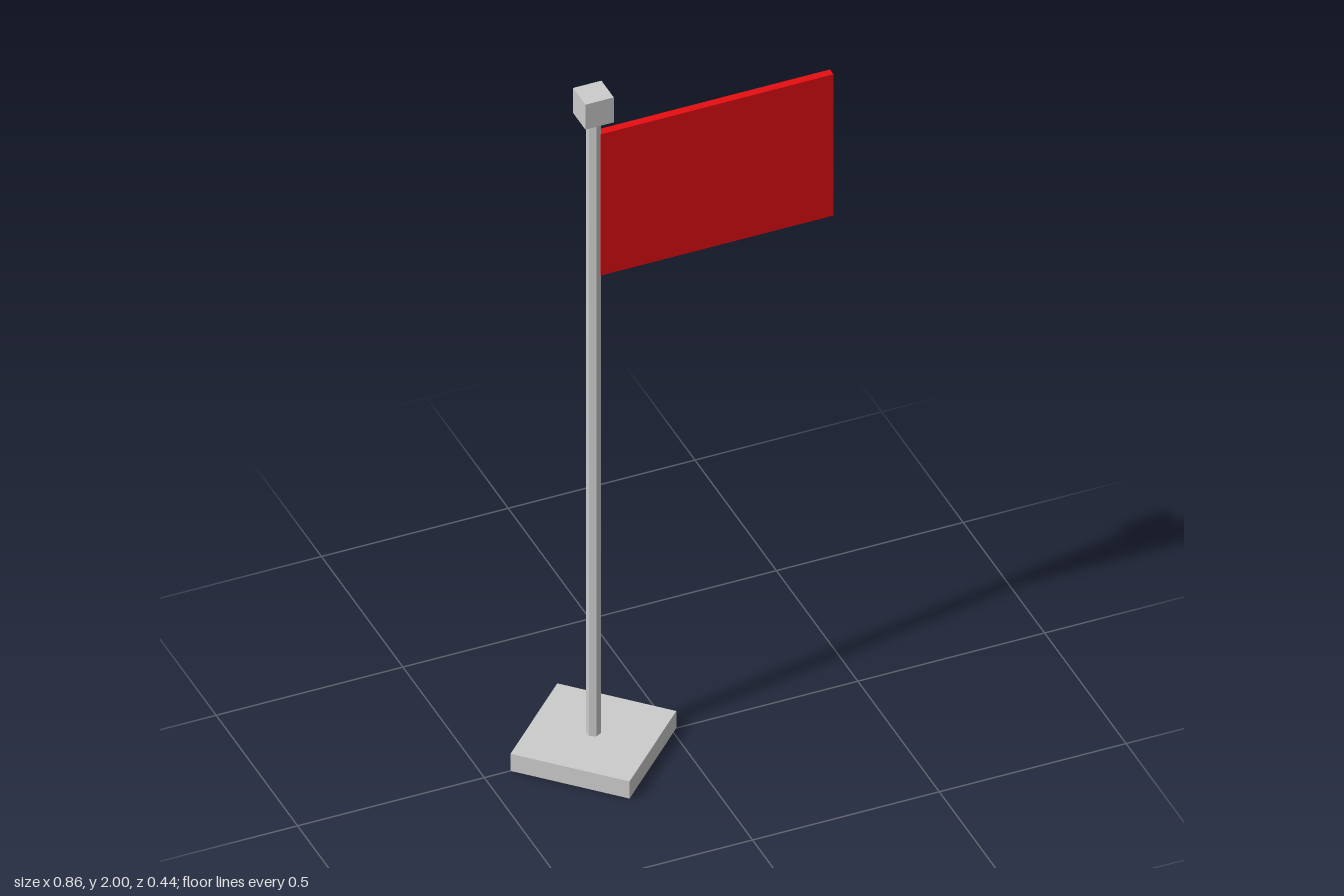
import * as THREE from 'three';

export function createModel() {
  const model = new THREE.Group();
  const grey = new THREE.MeshStandardMaterial({ color: 0xcccccc, flatShading: true });
  const red = new THREE.MeshStandardMaterial({ color: 0xe60d11, flatShading: true });
  const poleX = -0.208;

  const add = (name, geometry, material, x, y) => {
    const mesh = new THREE.Mesh(geometry, material);
    mesh.name = name;
    mesh.position.set(x, y, 0);
    model.add(mesh);
    return mesh;
  };

  // Square foot turned corner-forward
  const baseSide = 0.222 * Math.SQRT2;
  add('base', new THREE.BoxGeometry(baseSide, 0.052, baseSide), grey, poleX, 0.026).rotation.y = Math.PI / 4;

  // Six-sided pole, running from the foot to the finial
  add('pole', new THREE.CylinderGeometry(0.0185, 0.0185, 1.88, 6), grey, poleX, 0.99);

  // Cube on top of the pole
  add('finial', new THREE.BoxGeometry(0.076, 0.076, 0.076), grey, poleX, 1.962);

  // Stiff flag panel, fixed to the pole's left side
  add('flag', new THREE.BoxGeometry(0.623, 0.43, 0.022), red, 0.1185, 1.661);

  return model;
}
